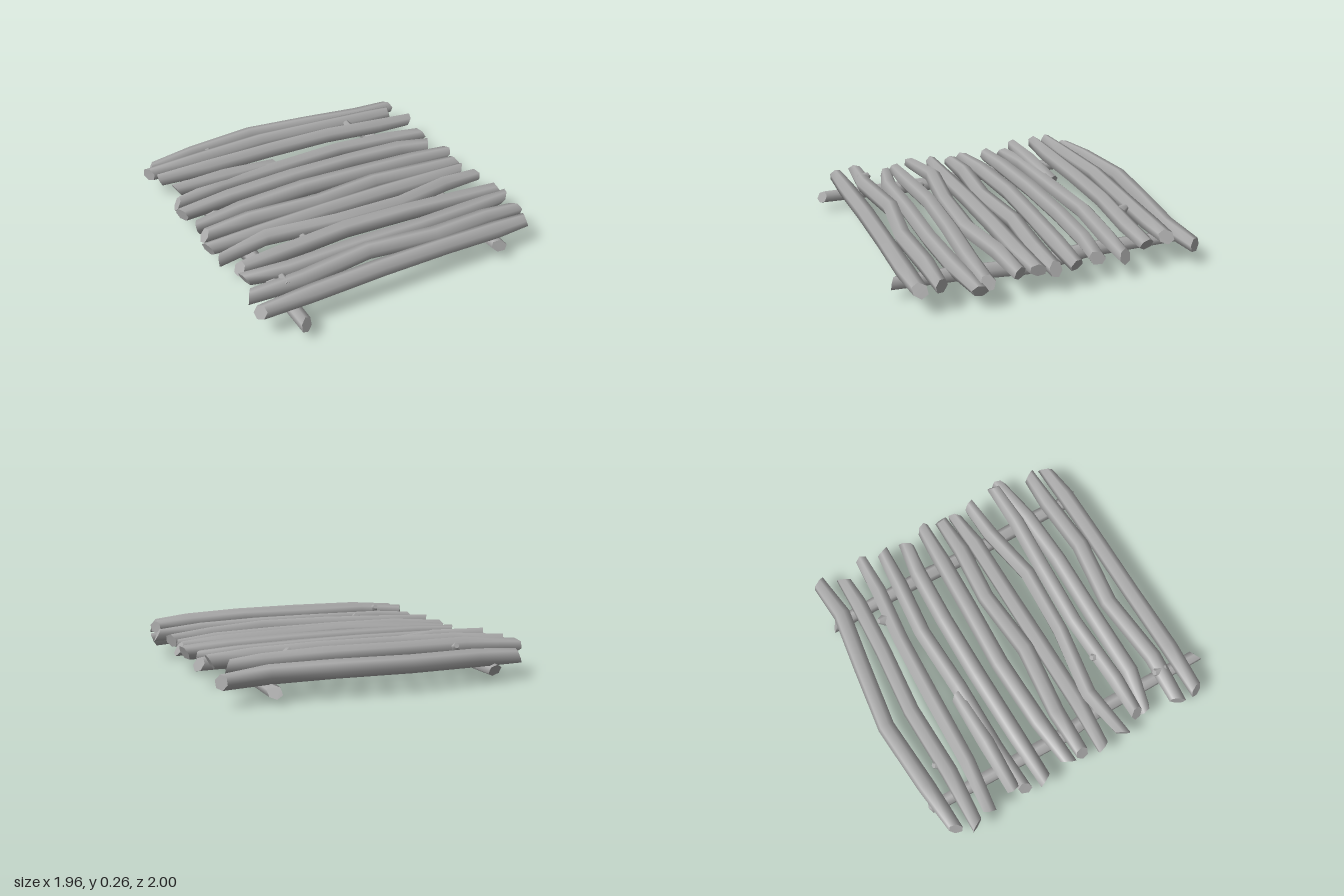
import * as THREE from 'three';

const SIDES = 6;

// A crooked pole along x: points are [x, y, z], the two ends are cut at a slant.
function poleGeometry(points, radius, seed) {
  let s = seed * 7919 + 13;
  const rand = () => ((s = (s * 16807) % 2147483647) / 2147483647);
  const pos = [], idx = [];
  const last = points.length - 1;
  const turn = rand() * Math.PI;
  const slants = [rand() * Math.PI * 2, rand() * Math.PI * 2];
  points.forEach(([x, y, z], i) => {
    const end = i === 0 || i === last;
    for (let j = 0; j < SIDES; j++) {
      const a = (j / SIDES) * Math.PI * 2 + turn;
      const r = radius * (end ? 0.82 : 1.03) * (0.96 + 0.1 * rand());
      const cut = end ? (i ? -1 : 1) * 0.025 * (1 + Math.cos(a - slants[i ? 1 : 0])) : 0;
      pos.push(x + cut, y + r * Math.sin(a), z + r * Math.cos(a));
    }
  });
  for (let i = 0; i < last; i++) {
    for (let j = 0; j < SIDES; j++) {
      const a = i * SIDES + j, b = i * SIDES + ((j + 1) % SIDES);
      idx.push(a, a + SIDES, b, b, a + SIDES, b + SIDES);
    }
  }
  // Flat end faces with their own vertices, so the cut edge stays sharp
  for (const ring of [0, last]) {
    const base = pos.length / 3;
    for (let k = 0; k < SIDES * 3; k++) pos.push(pos[ring * SIDES * 3 + k]);
    for (let j = 1; j < SIDES - 1; j++) {
      if (ring) idx.push(base, base + j + 1, base + j);
      else idx.push(base, base + j, base + j + 1);
    }
  }
  const g = new THREE.BufferGeometry();
  g.setAttribute('position', new THREE.Float32BufferAttribute(pos, 3));
  g.setIndex(idx);
  g.computeVertexNormals();
  return g;
}

// Crossing logs, back to front: left end, right end, height, then z at both ends and four bends
const BENDS = [-0.6, -0.15, 0.28, 0.65];
const LOGS = [
  [-0.93, 0.95, 0.16, -0.88, -0.91, -0.945, -0.89, -0.84, -0.87],
  [-0.98, 0.87, 0.2, -0.76, -0.75, -0.765, -0.73, -0.715, -0.72],
  [-0.94, 0.92, 0.205, -0.655, -0.625, -0.615, -0.6, -0.565, -0.56],
  [-0.93, 0.94, 0.165, -0.4, -0.43, -0.435, -0.455, -0.425, -0.41],
  [-0.95, 0.9, 0.165, -0.27, -0.285, -0.295, -0.295, -0.28, -0.25],
  [-0.92, 0.94, 0.17, -0.09, -0.12, -0.138, -0.12, -0.108, -0.1],
  [-0.92, 0.94, 0.17, 0.01, 0.005, 0.05, 0.012, 0.038, 0.03],
  [-0.95, 0.91, 0.165, 0.14, 0.155, 0.148, 0.145, 0.145, 0.125],
  [-0.94, 0.93, 0.18, 0.29, 0.235, 0.303, 0.325, 0.26, 0.245],
  [-0.88, 0.97, 0.185, 0.43, 0.43, 0.407, 0.427, 0.452, 0.45],
  [-0.88, 0.98, 0.15, 0.49, 0.542, 0.545, 0.555, 0.54, 0.5],
  [-0.94, 0.92, 0.19, 0.69, 0.707, 0.662, 0.72, 0.7, 0.7],
  [-0.94, 0.91, 0.18, 0.83, 0.835, 0.83, 0.83, 0.83, 0.82],
];

// Each log arches slightly: its ends hang lower than its middle
const logPoints = ([x0, x1, y, ...zs]) =>
  [x0, ...BENDS, x1].map((x, i) => [x, y + 0.007 - 0.028 * x * x, zs[i]]);

// Supporting rails, built along x then turned to run front to back: [z, y, -x]
const RAILS = {
  rightRail: [[-0.96, 0.08, 0.71], [0, 0.085, 0.73], [0.25, 0.085, 0.7], [1, 0.1, 0.71]],
  leftRail: [[-0.93, 0.07, -0.64], [-0.3, 0.09, -0.645], [0.1, 0.055, -0.645], [0.5, 0.09, -0.64], [0.92, 0.1, -0.635]],
};

// Twig stubs: [x, y, z]
const STUBS = [[-0.52, 0.2, -0.785], [0.46, 0.22, -0.635], [-0.42, 0.2, 0.395], [-0.7, 0.2, 0.68]];

export function createModel() {
  const model = new THREE.Group();
  model.name = 'logPlatform';
  const wood = new THREE.MeshStandardMaterial({ color: 0xaaaaaa });
  wood.name = 'greyWood';
  const add = (name, geometry) => {
    const mesh = new THREE.Mesh(geometry, wood);
    mesh.name = name;
    model.add(mesh);
    return mesh;
  };

  LOGS.forEach((log, i) => add(`crossLog${i + 1}`, poleGeometry(logPoints(log), 0.052, i + 1)));

  Object.entries(RAILS).forEach(([name, points], i) =>
    add(name, poleGeometry(points, 0.048, i + 51).rotateY(-Math.PI / 2)));

  // Split half of a log, ending bluntly before the middle
  add('splitPiece', poleGeometry([[-0.9, 0.2, -0.47], [-0.55, 0.2, -0.465], [-0.18, 0.18, -0.475]], 0.052, 31));

  STUBS.forEach(([x, y, z], i) => {
    const stub = add(`twigStub${i + 1}`, new THREE.CylinderGeometry(0.018, 0.05, 0.07, 5));
    stub.position.set(x, y, z);
    stub.rotation.x = -1;
  });
  return model;
}
